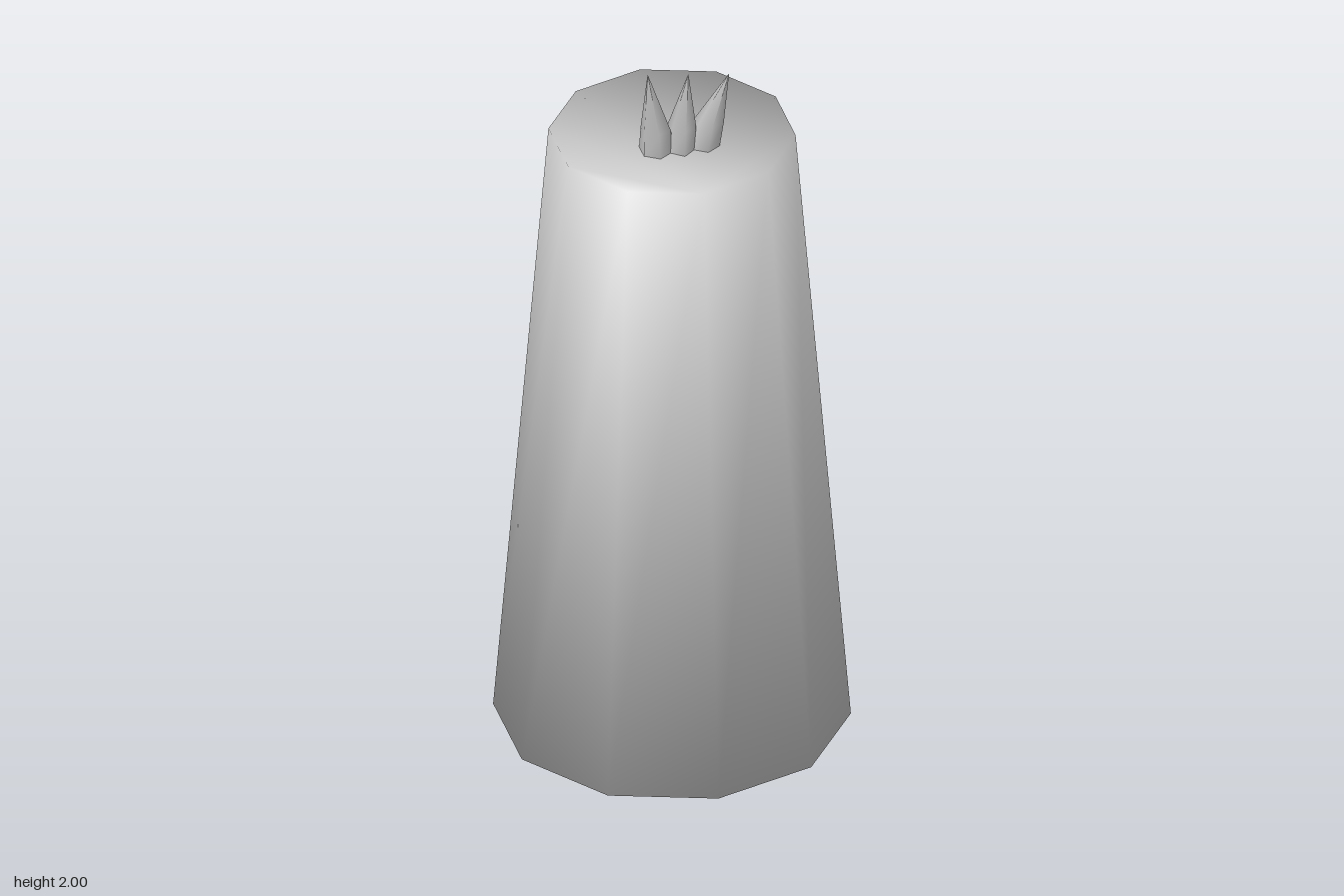
import * as THREE from 'three';
import { mergeVertices } from 'three/addons/utils/BufferGeometryUtils.js';

// Closed ten-sided tapered block, with normals blended softly over both rims
function taperedBody(bottomRadius, topRadius, height, sides) {
  const positions = [], normals = [], index = [];
  for (const [r, y, tilt] of [[bottomRadius, 0, -0.72], [topRadius, height, 0.85]]) {
    for (let i = 0; i < sides; i++) {
      const a = (i / sides) * Math.PI * 2;
      const n = new THREE.Vector3(Math.sin(a), tilt, Math.cos(a)).normalize();
      positions.push(r * Math.sin(a), y, r * Math.cos(a));
      normals.push(n.x, n.y, n.z);
    }
  }
  for (let i = 0; i < sides; i++) {
    const j = (i + 1) % sides;
    index.push(i, j, sides + j, i, sides + j, sides + i);
  }
  // End caps
  for (let i = 1; i < sides - 1; i++) {
    index.push(0, i + 1, i);
    index.push(sides, sides + i, sides + i + 1);
  }
  const g = new THREE.BufferGeometry();
  g.setAttribute('position', new THREE.Float32BufferAttribute(positions, 3));
  g.setAttribute('normal', new THREE.Float32BufferAttribute(normals, 3));
  g.setIndex(index);
  return g;
}

// Six-sided leaning spike; rings are [x, y, z, radiusX, radiusZ] from root to tip
function spike(rings) {
  const g = new THREE.CylinderGeometry(1, 1, 2, 6, rings.length - 1, true);
  const p = g.attributes.position;
  for (let i = 0; i < p.count; i++) {
    const row = Math.round((p.getY(i) + 1) / 2 * (rings.length - 1));
    const [x, y, z, rx, rz] = rings[row];
    p.setXYZ(i, x + p.getX(i) * rx, y, z + p.getZ(i) * rz);
  }
  g.deleteAttribute('normal');
  g.deleteAttribute('uv');
  const merged = mergeVertices(g);
  merged.computeVertexNormals();
  return merged;
}

export function createModel() {
  const model = new THREE.Group();
  model.name = 'taperedFigure';
  const grey = new THREE.MeshStandardMaterial({ color: 0xcccccc });
  grey.name = 'lightGrey';

  const add = (name, geometry, parent) => {
    const mesh = new THREE.Mesh(geometry, grey);
    mesh.name = name;
    parent.add(mesh);
  };

  add('body', taperedBody(0.456, 0.315, 1.72, 10), model);

  // Tuft of three spikes leaning forward on the top
  const tuft = new THREE.Group();
  tuft.name = 'tuft';
  model.add(tuft);
  add('middleSpike', spike([
    [0, 1.71, 0.072, 0.036, 0.052],
    [0, 1.8, 0.1, 0.037, 0.037],
    [0, 1.985, 0.16, 0.0005, 0.0005],
  ]), tuft);
  for (const [name, side, tipY] of [['rightSpike', -1, 2], ['leftSpike', 1, 1.97]]) {
    add(name, spike([
      [side * 0.062, 1.71, 0.07, 0.043, 0.05],
      [side * 0.07, 1.8, 0.1, 0.04, 0.037],
      [side * 0.107, tipY, 0.16, 0.0005, 0.0005],
    ]), tuft);
  }
  return model;
}
